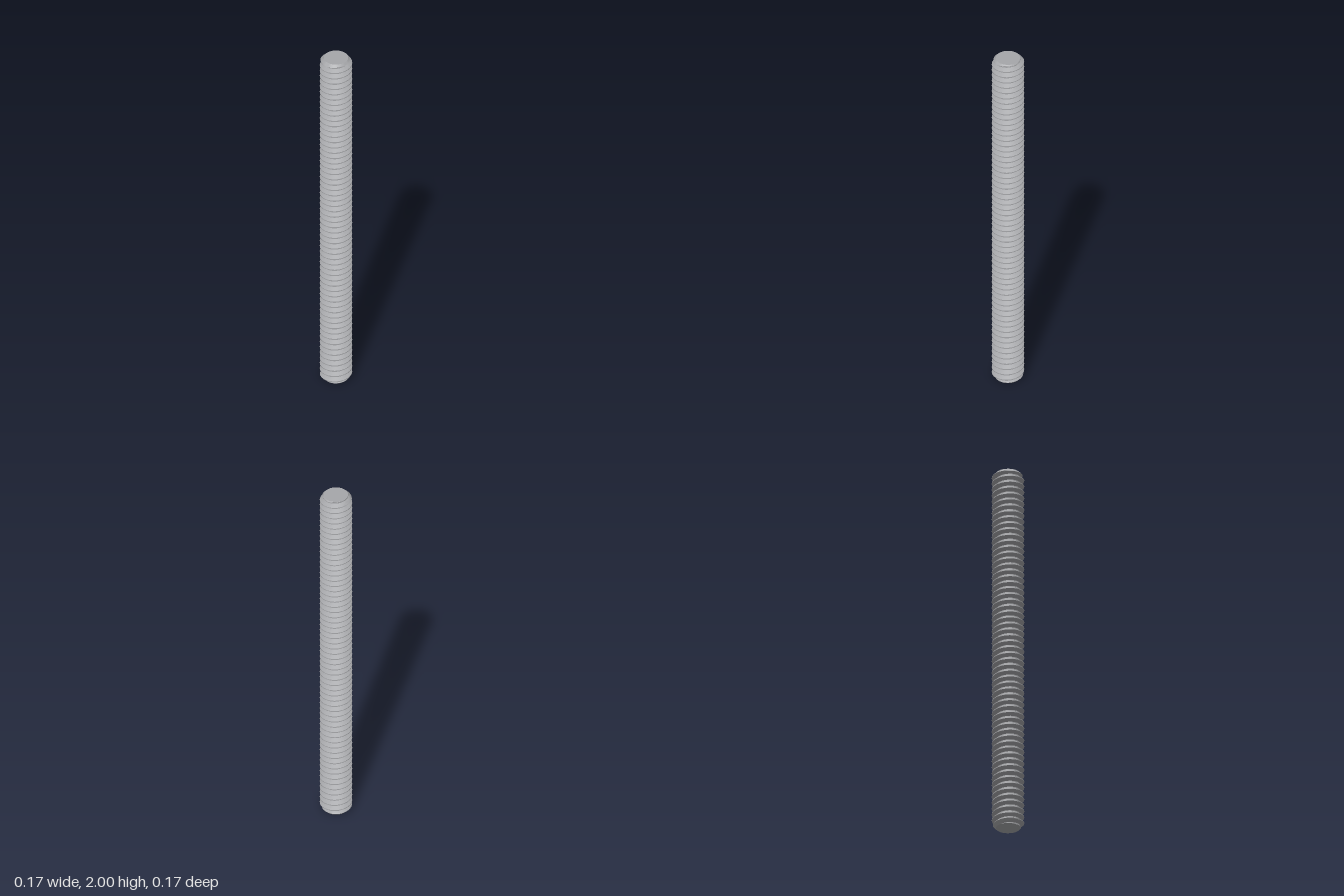
import * as THREE from 'three';
import { toCreasedNormals } from 'three/addons/utils/BufferGeometryUtils.js';

const LENGTH = 2, PITCH = 1 / 30, SEGMENTS = 48;
const CREST = 0.0833, ROOT = 0.0629, END = 0.0625;
const CREST_HALF = PITCH / 16;
const FLANK = (CREST - ROOT) * Math.tan(Math.PI / 6);

// One turn of the thread profile as [axial offset, radius], subdivided on the flanks
function threadProfile() {
  const points = [];
  const steps = 4;
  for (let i = 0; i <= steps; i++) {
    const t = i / steps;
    points.push([-CREST_HALF - FLANK * (1 - t), ROOT + (CREST - ROOT) * t]);
  }
  for (let i = 0; i <= steps; i++) {
    const t = i / steps;
    points.push([CREST_HALF + FLANK * t, CREST - (CREST - ROOT) * t]);
  }
  return points;
}

// Helical thread surface, cut by a 45 degree chamfer at both ends
function threadGeometry() {
  const profile = threadProfile();
  const turns = Math.round(LENGTH / PITCH);
  const rows = [];
  for (let n = -2; n <= turns + 2; n++) {
    for (const [dy, r] of profile) rows.push([n * PITCH + dy, r]);
  }
  const positions = [];
  for (const [y0, r0] of rows) {
    for (let j = 0; j <= SEGMENTS; j++) {
      const a = (j / SEGMENTS) * Math.PI * 2;
      const lead = (j / SEGMENTS - 0.5) * PITCH + 0.0141;
      const y = THREE.MathUtils.clamp(y0 + lead, 0, LENGTH);
      const r = Math.min(r0, END + Math.min(y, LENGTH - y));
      positions.push(r * Math.cos(a), y, -r * Math.sin(a));
    }
  }
  const index = [];
  const addFace = (...face) => {
    const ys = face.map((v) => positions[v * 3 + 1]);
    if (ys.every((y) => y <= 0) || ys.every((y) => y >= LENGTH)) return;
    index.push(...face);
  };
  const w = SEGMENTS + 1;
  for (let i = 0; i < rows.length - 1; i++) {
    for (let j = 0; j < SEGMENTS; j++) {
      const a = i * w + j, b = a + 1, c = b + w, d = a + w;
      addFace(a, b, c);
      addFace(a, c, d);
    }
  }
  const geometry = new THREE.BufferGeometry();
  geometry.setAttribute('position', new THREE.Float32BufferAttribute(positions, 3));
  geometry.setIndex(index);
  return toCreasedNormals(geometry, 0.4);
}

export function createModel() {
  const steel = new THREE.MeshStandardMaterial({ color: 0xa6a7aa });
  steel.name = 'steel';

  const group = new THREE.Group();
  group.name = 'threadedRod';

  const thread = new THREE.Mesh(threadGeometry(), steel);
  thread.name = 'thread';
  group.add(thread);

  // Flat ends
  for (const [name, y, turn] of [['topEnd', LENGTH, -1], ['bottomEnd', 0, 1]]) {
    const end = new THREE.Mesh(new THREE.CircleGeometry(END, SEGMENTS), steel);
    end.name = name;
    end.rotation.x = (turn * Math.PI) / 2;
    end.position.y = y;
    group.add(end);
  }
  return group;
}
